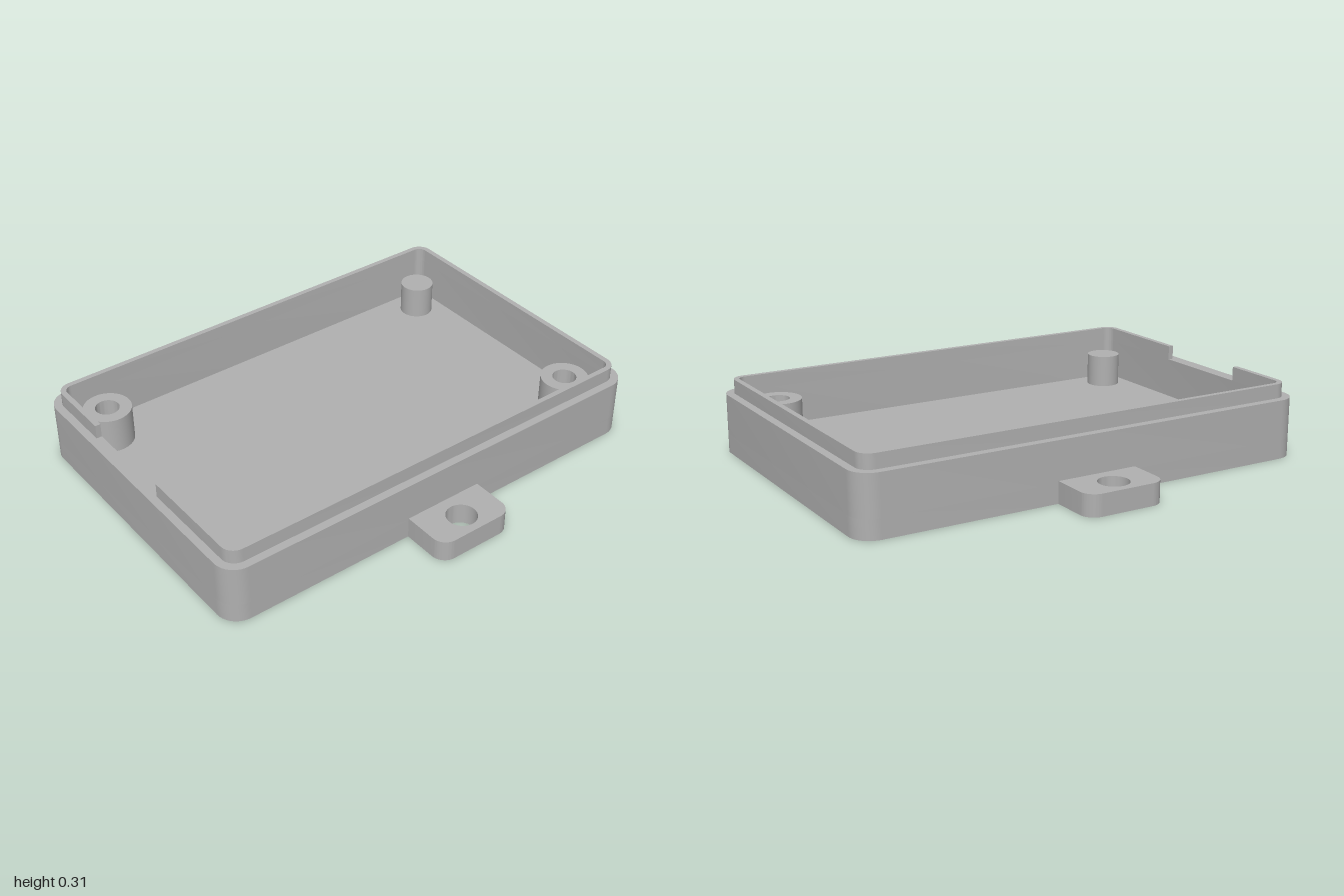
import * as THREE from 'three';
import { toCreasedNormals } from 'three/addons/utils/BufferGeometryUtils.js';

const FLOOR = 0.08, RIM = 0.25, TOP = 0.31;

// Points of a rounded rectangle, counter-clockwise from the middle of its -x side
function roundedRect(hx, hy, r, n = 10) {
  const pts = [];
  [[-1, -1], [1, -1], [1, 1], [-1, 1]].forEach(([sx, sy], i) => {
    for (let k = 0; k <= n; k++) {
      const a = Math.PI + (i + k / n) * Math.PI / 2;
      pts.push(new THREE.Vector2(sx * (hx - r) + r * Math.cos(a), sy * (hy - r) + r * Math.sin(a)));
    }
  });
  return pts;
}

// Circular hole in plan (z is flipped in shape space)
function hole(x, z, r) {
  return new THREE.Path().absarc(x, -z, r, 0, Math.PI * 2, true);
}

// Extrude a plan shape upward from y0 to y1
function slab(shape, y0, y1) {
  const g = new THREE.ExtrudeGeometry(shape, { depth: y1 - y0, bevelEnabled: false, curveSegments: 24 });
  g.rotateX(-Math.PI / 2).translate(0, y0, 0);
  return toCreasedNormals(g, 0.6);
}

export function createModel() {
  const model = new THREE.Group();
  model.name = 'enclosureBase';
  const grey = new THREE.MeshStandardMaterial({ color: 0xb0b0b0 });
  grey.name = 'grey plastic';

  const add = (name, geometry, x = 0, z = 0) => {
    const mesh = new THREE.Mesh(geometry, grey);
    mesh.name = name;
    mesh.position.set(x, 0, z);
    model.add(mesh);
    return mesh;
  };

  const outer = roundedRect(1, 0.667, 0.09);
  const inner = roundedRect(0.943, 0.611, 0.035);
  const screwPosts = [[-0.818, -0.487], [0.818, 0.483]];
  const pegs = [[0.825, -0.49], [-0.825, 0.49]];

  // Floor with counterbored screw holes
  const floor = new THREE.Shape(outer);
  screwPosts.forEach(([x, z]) => floor.holes.push(hole(x, z, 0.094)));
  add('floor', slab(floor, 0, FLOOR));

  // Outer wall
  const wall = new THREE.Shape(outer);
  wall.holes.push(new THREE.Path(inner));
  add('wall', slab(wall, FLOOR, RIM));

  // Raised lip, open at the notch on the right side
  const lip = new THREE.Shape([
    new THREE.Vector2(-0.966, -0.14),
    ...roundedRect(0.966, 0.633, 0.057),
    new THREE.Vector2(-0.966, 0.31),
    new THREE.Vector2(-0.943, 0.31),
    ...inner.slice().reverse(),
    new THREE.Vector2(-0.943, -0.14),
  ]);
  add('lip', slab(lip, RIM, TOP));

  // Hollow screw posts, wider below for the screw head
  const postProfile = [[0.1, FLOOR], [0.1, 0.233], [0.05, 0.233], [0.05, 0.1], [0.094, 0.1], [0.094, FLOOR]]
    .map(([r, y]) => new THREE.Vector2(r, y));
  const postGeometry = toCreasedNormals(new THREE.LatheGeometry(postProfile, 48), 0.6);
  screwPosts.forEach(([x, z]) => add('screwPost', postGeometry, x, z));

  // Solid pegs in the other two corners
  const pegGeometry = new THREE.CylinderGeometry(0.072, 0.072, 0.22 - FLOOR, 40);
  pegGeometry.translate(0, (0.22 + FLOOR) / 2, 0);
  pegs.forEach(([x, z]) => add('peg', pegGeometry, x, z));

  // Mounting tabs at front and back
  const r = 0.06, w = 0.175, z0 = 0.667, z1 = 0.87;
  const tab = new THREE.Shape();
  tab.moveTo(w, -z0);
  tab.lineTo(-w, -z0);
  tab.lineTo(-w, -z1 + r);
  tab.absarc(-w + r, -z1 + r, r, Math.PI, Math.PI * 1.5, false);
  tab.absarc(w - r, -z1 + r, r, Math.PI * 1.5, Math.PI * 2, false);
  tab.closePath();
  tab.holes.push(hole(0, 0.775, 0.063));
  const tabGeometry = slab(tab, 0, 0.09);
  add('frontTab', tabGeometry);
  add('backTab', tabGeometry).rotation.y = Math.PI;

  return model;
}
